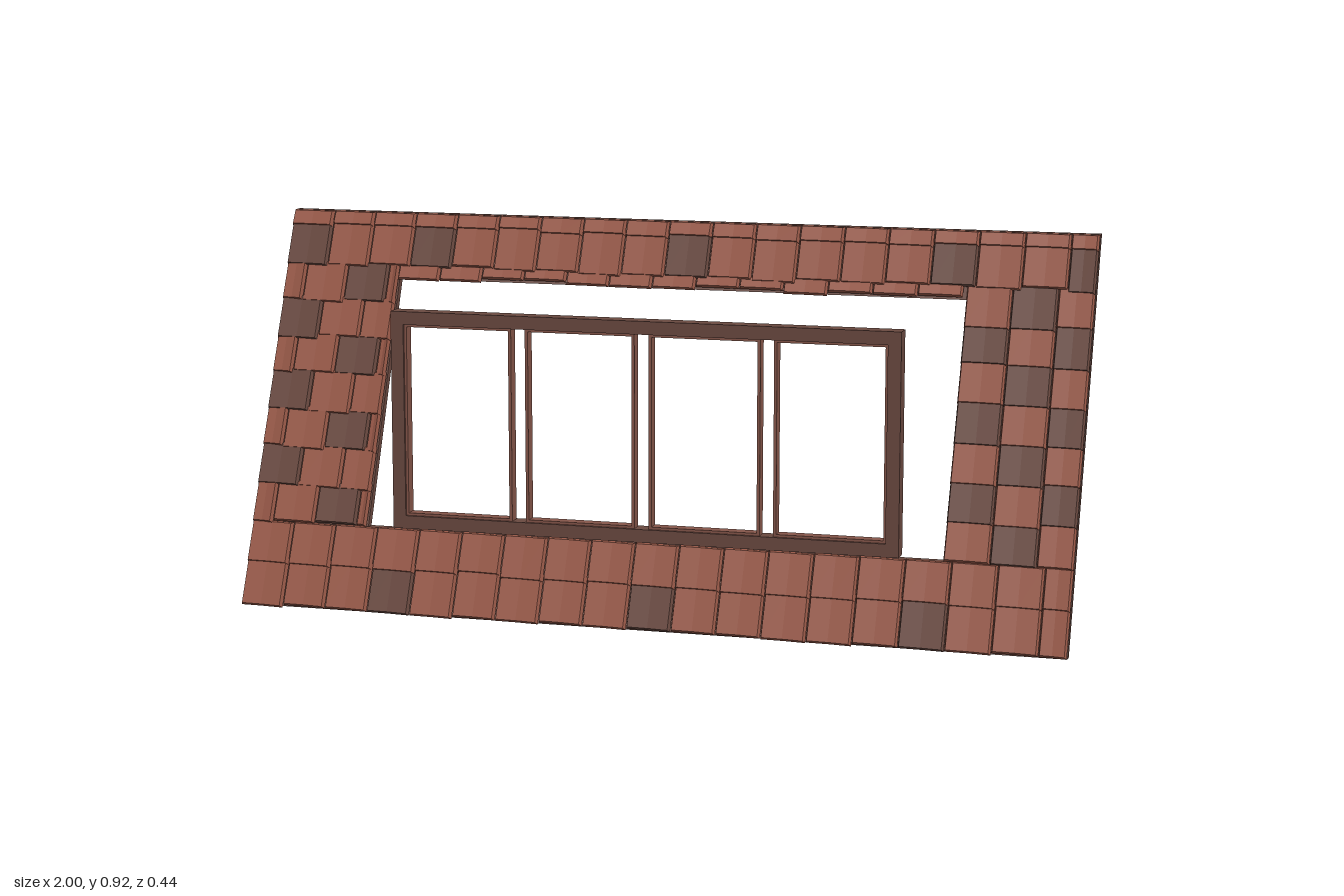
import * as THREE from 'three';

const HEIGHT = 0.917, SLOPE = 0.424, PITCH = 0.1075;

function material(name, color) {
  const m = new THREE.MeshStandardMaterial({ color, flatShading: true });
  m.name = name;
  return m;
}
const brick = material('terracotta', 0x9a5a49);
const brown = material('dark brown', 0x6b4a41);
const russet = material('reddish brown', 0x85564a);

// small repeatable noise in -0.5..0.5
function noise(a, b) {
  const s = Math.sin(a * 12.99 + b * 78.23) * 43758.5453;
  return s - Math.floor(s) - 0.5;
}

// lean an upright geometry back along the roof slope
function lean(geometry) {
  const p = geometry.attributes.position;
  for (let i = 0; i < p.count; i++) p.setZ(i, p.getZ(i) - SLOPE * p.getY(i));
  geometry.computeVertexNormals();
  return geometry;
}

function rect(path, x, y0, y1) {
  path.moveTo(-x, y0);
  path.lineTo(x, y0);
  path.lineTo(x, y1);
  path.lineTo(-x, y1);
  path.closePath();
  return path;
}

// one tile: lower end and right edge stand proud, face narrower than the back
function tile(x0, x1, y0, y1) {
  const g = new THREE.BoxGeometry(1, 1, 1, 2, 1, 1);
  const p = g.attributes.position;
  for (let i = 0; i < p.count; i++) {
    const u = p.getX(i) + 0.5, v = p.getY(i) + 0.5, w = p.getZ(i) + 0.5;
    const x = x0 + u * (x1 - x0) - w * (u - 0.5) * 0.008;
    const y = y0 + v * (y1 - y0) + w * (1 - v) * 0.007;
    const z = 0.201 + w * 0.014 - v * 0.006 + u * u * 0.007;
    p.setXYZ(i, x, y, z);
  }
  return lean(g);
}

// one row of tiles between two x limits; shift moves the joints sideways
function tileRow(group, row, xStart, xEnd, y0, y1, darkTiles = [], shift = 0) {
  for (let i = 0; xStart + i * PITCH - shift < xEnd - 0.01; i++) {
    const left = xStart + i * PITCH - shift;
    const x0 = Math.max(left, xStart), x1 = Math.min(left + PITCH, xEnd);
    const drop = y0 > 0.01 ? noise(i + xStart, row) * 0.01 : (noise(i, row) + 0.5) * 0.005;
    const top = Math.min(y1 + 0.012, HEIGHT);
    const m = new THREE.Mesh(tile(x0, x1, y0 + drop, top), darkTiles.includes(i) ? brown : brick);
    m.name = 'roofTile';
    group.add(m);
  }
}

function makeTiles() {
  const g = new THREE.Group();
  g.name = 'roofTiles';
  // full rows below the opening
  tileRow(g, 0, -1, 1, 0, 0.098, [3, 9, 15]);
  tileRow(g, 1, -1, 1, 0.098, 0.18);
  // short rows on both sides of the opening
  const step = (0.79 - 0.19) / 7;
  for (let r = 0; r < 7; r++) {
    const y0 = 0.19 + r * step, even = r % 2 === 0;
    const y1 = r === 6 ? 0.785 : y0 + step;
    tileRow(g, r + 2, -1, -0.705, y0, y1, even ? [2] : [0], even ? PITCH / 2 : 0);
    tileRow(g, r + 12, 0.7, 1, y0, y1, even ? [1] : [0, 2]);
  }
  // full rows above the opening
  tileRow(g, 30, -0.705, 0.7, 0.765, 0.785);
  tileRow(g, 31, -1, 1, 0.79, 0.88, [0, 3, 9, 15, 18]);
  tileRow(g, 32, -1, 1, 0.882, HEIGHT);
  return g;
}

// leaning backing board with a rectangular opening
function makeBoard() {
  const shape = rect(new THREE.Shape(), 1, 0, HEIGHT);
  shape.holes.push(rect(new THREE.Path(), 0.705, 0.19, 0.762));
  const g = new THREE.ExtrudeGeometry(shape, { depth: 0.021, bevelEnabled: false });
  g.translate(0, 0, 0.172);
  const m = new THREE.Mesh(lean(g), brown);
  m.name = 'roofBoard';
  return m;
}

// hollow rectangular frame
function frame(name, mat, x0, x1, y0, y1, z0, z1, border) {
  const hw = (x1 - x0) / 2;
  const shape = rect(new THREE.Shape(), hw, y0, y1);
  shape.holes.push(rect(new THREE.Path(), hw - border, y0 + border, y1 - border));
  const g = new THREE.ExtrudeGeometry(shape, { depth: z1 - z0, bevelEnabled: false });
  g.translate((x0 + x1) / 2, 0, z0);
  const m = new THREE.Mesh(g, mat);
  m.name = name;
  return m;
}

function makeWindow() {
  const g = new THREE.Group();
  g.name = 'window';
  g.add(frame('windowFrame', brown, -0.61, 0.61, 0.21, 0.73, 0.149, 0.192, 0.031));
  // four slim sashes with gaps between them
  const sashes = [[-0.58, -0.315], [-0.281, -0.016], [0.018, 0.283], [0.315, 0.58]];
  for (const [a, b] of sashes) g.add(frame('sash', russet, a, b, 0.24, 0.7, 0.155, 0.186, 0.007));
  return g;
}

export function createModel() {
  const model = new THREE.Group();
  model.name = 'roofWithWindow';
  model.add(makeBoard(), makeTiles(), makeWindow());
  return model;
}
